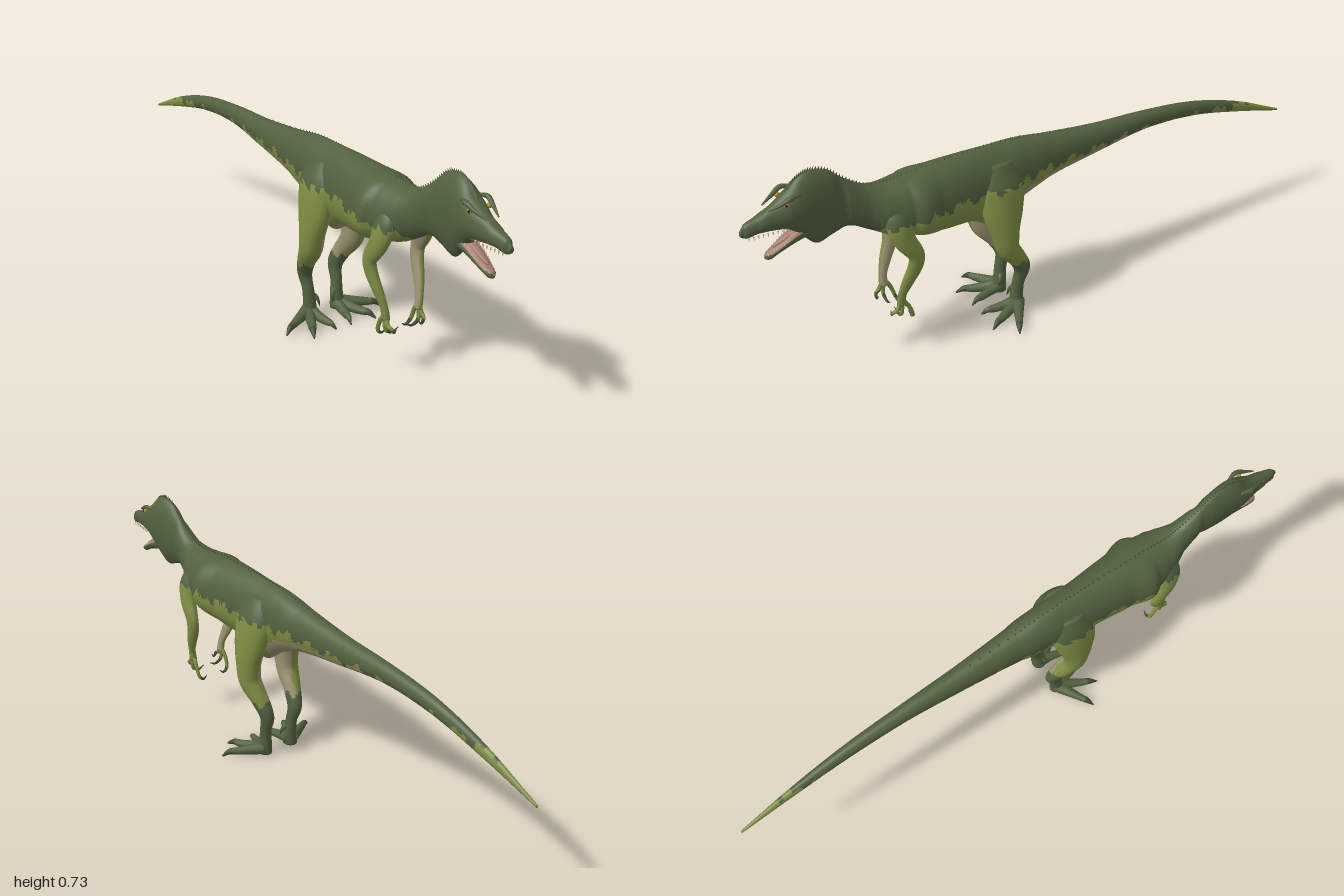
import * as THREE from 'three';
import { mergeGeometries } from 'three/addons/utils/BufferGeometryUtils.js';

const mat = (name, color, side = THREE.FrontSide) => new THREE.MeshStandardMaterial({ name, color, side });
const MATS = [
  mat('darkGreenBack', 0x52613f), mat('yellowGreenFlank', 0x7e8d43), mat('beigeBelly', 0x9a9270),
  mat('pinkMouth', 0xa37a6c), mat('darkClaw', 0x404b34), mat('ivoryTooth', 0xcfc6a4),
  mat('amberEye', 0xb08a34), mat('blackPupil', 0x15150f),
];
const [BACK, FLANK, BELLY, MOUTH, CLAW, TOOTH, EYE, PUPIL] = MATS.keys();
const V = (x, y, z) => new THREE.Vector3(x, y, z);

// Smooth skin over equal-sized rings; every triangle gets a colour from colourOf(centre, normal)
function skin(name, rings, colourOf) {
  const n = rings[0].length, pts = rings.flat(), faces = MATS.map(() => []);
  const mean = r => r.reduce((s, p) => s.add(p), V(0, 0, 0)).divideScalar(n);
  const first = pts.push(mean(rings[0])) - 1, last = pts.push(mean(rings[rings.length - 1])) - 1;
  const tri = (a, b, c) => {
    const t = new THREE.Triangle(pts[a], pts[b], pts[c]);
    faces[colourOf(t.getMidpoint(V(0, 0, 0)), t.getNormal(V(0, 0, 0)))].push(a, b, c);
  };
  const end = (rings.length - 1) * n;
  for (let j = 0; j < n; j++) {
    const k = (j + 1) % n;
    for (let i = 0; i < rings.length - 1; i++) {
      const a = i * n + j, b = i * n + k;
      tri(a, b, a + n);
      tri(b, b + n, a + n);
    }
    tri(first, k, j);
    tri(last, end + j, end + k);
  }
  const g = new THREE.BufferGeometry().setFromPoints(pts);
  g.setIndex(faces.flat());
  g.computeVertexNormals();
  let start = 0;
  faces.forEach((f, m) => { if (f.length) g.addGroup(start, f.length, m); start += f.length; });
  const mesh = new THREE.Mesh(g, MATS);
  mesh.name = name;
  return mesh;
}

// Tapering limb through [x, y, z, sideRadius, depthRadius]; ref is an axis the limb does not follow
function limb(name, pts, ref, colourOf, steps = 24, sides = 16) {
  const path = new THREE.CatmullRomCurve3(pts.map(p => V(p[0], p[1], p[2])));
  const radii = new THREE.CatmullRomCurve3(pts.map(p => V(p[3], p[4], 0)));
  const rings = [];
  for (let i = 0; i <= steps; i++) {
    const c = path.getPoint(i / steps), r = radii.getPoint(i / steps), t = path.getTangent(i / steps);
    const side = ref.clone().cross(t).normalize(), depth = t.clone().cross(side);
    rings.push(Array.from({ length: sides }, (_, j) => {
      const a = j / sides * Math.PI * 2;
      return c.clone().addScaledVector(side, r.x * Math.cos(a)).addScaledVector(depth, r.y * Math.sin(a));
    }));
  }
  return skin(name, rings, colourOf);
}

// Body stations: z, top, bottom, half width, height of widest point (0-1), pointedness
const STATIONS = [
  [-1, .362, .354, .004, .5, 1], [-.8, .452, .412, .013, .5, 1], [-.6, .512, .46, .02, .5, 1],
  [-.4, .54, .476, .026, .5, 1], [-.2, .555, .455, .037, .5, 1], [0, .582, .425, .052, .5, 1],
  [.1, .6, .385, .062, .55, 1.1], [.2, .608, .325, .07, .6, 1.3], [.28, .61, .365, .076, .5, 1.1],
  [.4, .61, .385, .088, .45, 1], [.5, .606, .41, .088, .45, 1], [.57, .604, .435, .072, .45, 1],
  [.62, .618, .465, .046, .5, 1], [.68, .66, .5, .035, .5, 1], [.73, .706, .49, .035, .5, 1.2],
  [.78, .721, .476, .038, .6, 1.3], [.82, .71, .515, .042, .5, 1.1], [.86, .675, .556, .04, .5, 1],
  [.9, .648, .57, .029, .45, .9], [.95, .626, .577, .021, .45, .8], [.985, .614, .572, .015, .45, .8],
  [1, .597, .58, .006, .5, 1],
];
const outline = new THREE.CatmullRomCurve3(STATIONS.map(s => V(s[0], s[1], s[2])));
const section = new THREE.CatmullRomCurve3(STATIONS.map(s => V(s[3], s[4], s[5])));

function body() {
  const steps = 260, sides = 48, rings = [];
  for (let i = 0; i <= steps; i++) {
    const { x: z, y: top, z: bottom } = outline.getPoint(i / steps);
    const { x: w, y: m, z: p } = section.getPoint(i / steps);
    const mid = bottom + (top - bottom) * m;
    rings.push(Array.from({ length: sides }, (_, j) => {
      const a = j / sides * Math.PI * 2, c = Math.cos(a), s = Math.sin(a);
      return V(w * Math.sign(c) * Math.abs(c) ** p, mid + (s > 0 ? top - mid : mid - bottom) * s, z);
    }));
  }
  return skin('body', rings, (c, n) => {
    if (c.z > .865 && n.y < -.6) return MOUTH;
    const edge = .49 + .012 * Math.sin(c.z * 60) + .009 * Math.sin(c.z * 143) - Math.max(0, -.35 - c.z) * .1;
    if (c.z > .61 || c.y > edge) return BACK;
    const under = c.z < .15 ? -.35 : -.7;
    return c.z > -.42 && c.z < .5 && n.y < under ? BELLY : FLANK;
  });
}

// Small pointed cones merged into one mesh: list of [x, y, z, radius, height, tiltX]
function cones(name, list, m) {
  const mesh = new THREE.Mesh(mergeGeometries(list.map(([x, y, z, r, h, tilt]) =>
    new THREE.ConeGeometry(r, h, 6).rotateX(tilt).translate(x, y, z))), MATS[m]);
  mesh.name = name;
  return mesh;
}

function head() {
  const g = new THREE.Group();
  g.name = 'headDetails';
  // Lower jaw with pink inside, and tongue
  g.add(limb('lowerJaw', [[0, .545, .8, .028, .026], [0, .528, .85, .026, .018], [0, .505, .9, .021, .012],
    [0, .489, .93, .014, .011], [0, .485, .94, .004, .005]], V(0, 1, 0), (c, n) => n.y > .55 && c.z > .83 ? MOUTH : BACK));
  g.add(limb('tongue', [[0, .552, .83, .014, .006], [0, .53, .88, .012, .006], [0, .512, .915, .004, .003]],
    V(0, 1, 0), () => MOUTH, 10, 10));
  const teeth = [];
  for (const s of [-1, 1]) {
    for (let i = 0; i < 8; i++) {
      const t = i / 7;
      teeth.push([s * (.023 - .011 * t), .568 + .003 * t, .885 + .095 * t, .003, .014, Math.PI]);
      teeth.push([s * (.022 - .012 * t), .536 - .038 * t, .865 + .065 * t, .0025, .011, 0]);
    }
    // Brow ridge, eye and pupil
    g.add(limb('browRidge', [[s * .03, .672, .825, .004, .004], [s * .037, .674, .855, .008, .007],
      [s * .031, .66, .885, .006, .006], [s * .02, .645, .92, .002, .002]], V(0, 1, 0), () => BACK, 12, 8));
    const eye = new THREE.Mesh(new THREE.SphereGeometry(.008, 14, 10), MATS[EYE]);
    eye.name = 'eye';
    eye.position.set(s * .033, .655, .868);
    const pupil = new THREE.Mesh(new THREE.SphereGeometry(.004, 10, 8), MATS[PUPIL]);
    pupil.name = 'pupil';
    pupil.position.set(s * .0385, .656, .871);
    g.add(eye, pupil);
  }
  g.add(cones('teeth', teeth, TOOTH));
  return g;
}

function backSpines() {
  const list = [];
  for (let i = 0; i < 75; i++) {
    const p = outline.getPoint(.2 + .6 * i / 74);
    list.push([0, p.y + .002, p.x, .005, i > 58 ? .018 : .012, -.4]);
  }
  return cones('backSpines', list, BACK);
}

function hindLeg(s) {
  const g = new THREE.Group();
  g.name = s > 0 ? 'leftHindLeg' : 'rightHindLeg';
  const X = pts => pts.map(([x, ...r]) => [s * x, ...r]);
  g.add(limb('legColumn', X([[.03, .56, .19, .03, .05], [.052, .48, .19, .045, .078], [.068, .4, .195, .041, .068],
    [.077, .33, .195, .038, .048], [.077, .27, .187, .037, .038], [.067, .21, .148, .029, .03],
    [.058, .155, .123, .022, .028], [.054, .1, .136, .018, .021], [.052, .05, .142, .021, .022],
    [.054, .008, .145, .024, .026]]), V(0, 0, 1), (c, n) => {
    const wave = .01 * Math.sin(c.z * 130 + c.x * 90);
    if (c.y < .2 + wave || c.y > .49 + wave) return BACK;
    return n.x * s < -.3 ? BELLY : FLANK;
  }, 60, 24));
  // Three spread toes ending in claws, and a small inner toe
  const toes = [
    [[.055, .025, .14, .024, .022], [.1, .022, .165, .017, .017], [.14, .02, .188, .012, .013], [.16, .019, .2, .01, .01], [.181, .004, .212, .002, .003]],
    [[.055, .025, .14, .024, .022], [.075, .019, .185, .017, .017], [.095, .016, .225, .013, .013], [.106, .017, .247, .01, .01], [.117, .004, .272, .002, .003]],
    [[.052, .025, .14, .024, .022], [.045, .019, .185, .016, .016], [.038, .016, .22, .013, .013], [.034, .016, .24, .009, .01], [.028, .004, .262, .002, .003]],
  ];
  for (const t of toes) g.add(limb('toe', X(t), V(0, 1, 0), c => Math.hypot(c.x - s * .055, c.z - .14) > .112 ? CLAW : BACK, 20, 12));
  g.add(limb('innerToe', X([[.045, .08, .14, .01, .01], [.03, .065, .152, .007, .007], [.025, .038, .162, .001, .001]]),
    V(0, 0, 1), c => c.y < .055 ? CLAW : BACK, 10, 8));
  return g;
}

function foreArm(s) {
  const g = new THREE.Group();
  g.name = s > 0 ? 'leftArm' : 'rightArm';
  const X = pts => pts.map(([x, ...r]) => [s * x, ...r]);
  g.add(limb('armColumn', X([[.045, .54, .54, .02, .03], [.066, .49, .55, .027, .04], [.079, .435, .54, .023, .034],
    [.086, .375, .51, .018, .026], [.082, .335, .514, .017, .025], [.073, .28, .538, .014, .02],
    [.063, .23, .556, .011, .014], [.058, .195, .558, .012, .015]]), V(0, 0, 1),
    (c, n) => c.y > .49 + .01 * Math.sin(c.z * 150) ? BACK : n.x * s < -.45 ? BELLY : FLANK, 40, 18));
  // Three fingers with hooked inward claws
  for (const [dz, tipX, tipY] of [[.03, .04, .165], [.004, .013, .15], [-.035, .028, .13]]) {
    g.add(limb('finger', X([[.058, .21, .557, .008, .009], [.062, .18, .557 + dz * .6, .007, .007],
      [.058, tipY + .008, .557 + dz, .006, .006], [(.058 + tipX) / 2, tipY - .004, .557 + dz * 1.05, .004, .004],
      [tipX, tipY + .006, .557 + dz, .001, .001]]), V(0, 0, 1),
      c => Math.abs(c.x) < .056 && c.y < tipY + .015 ? CLAW : FLANK, 18, 8));
  }
  return g;
}

export function createModel() {
  const model = new THREE.Group();
  model.name = 'dinosaur';
  model.add(body(), head(), backSpines());
  for (const s of [-1, 1]) model.add(hindLeg(s), foreArm(s));
  return model;
}
